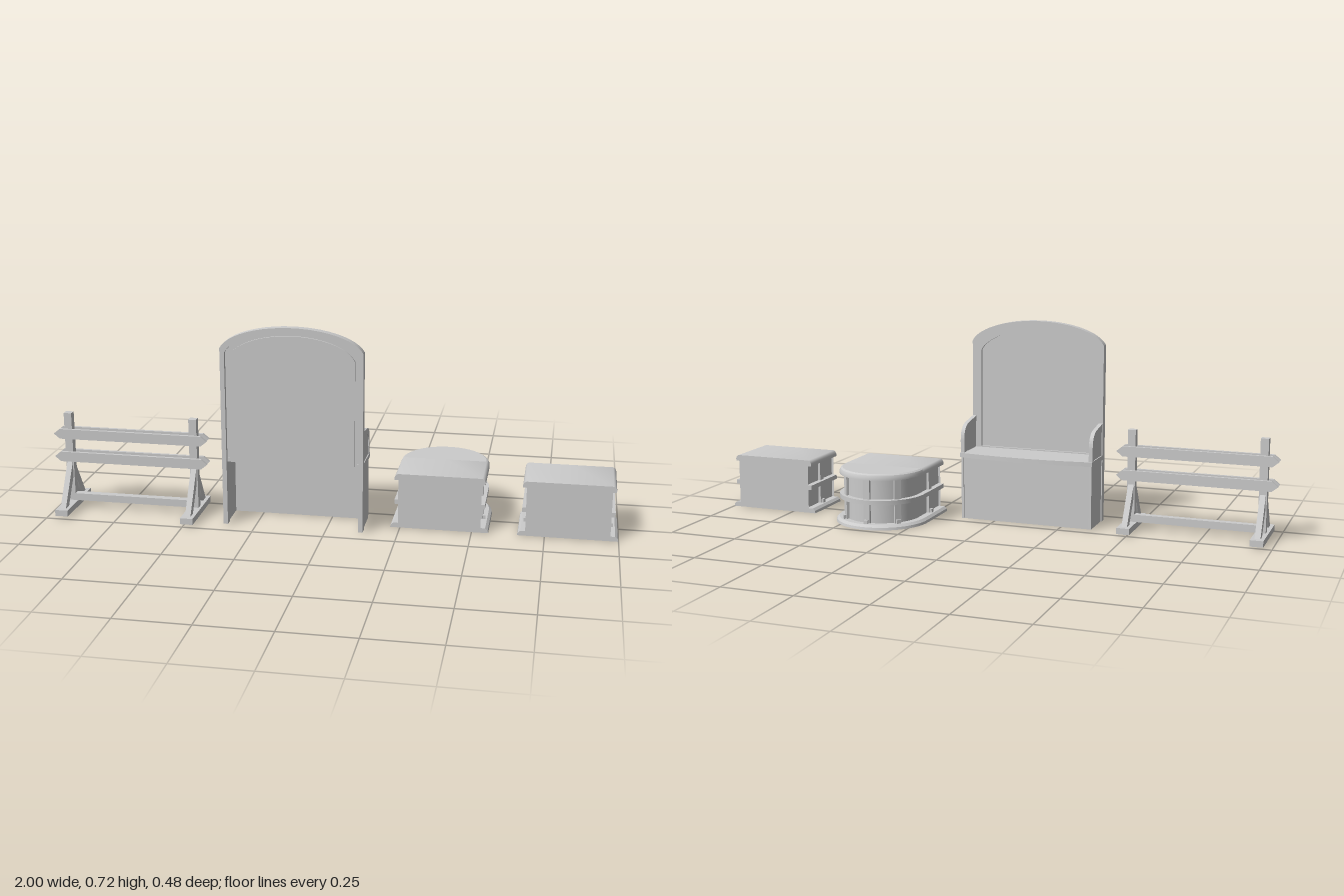
import * as THREE from 'three';
import { toCreasedNormals } from 'three/addons/utils/BufferGeometryUtils.js';

const grey = new THREE.MeshStandardMaterial({ color: 0xcccccc });
const thin = new THREE.MeshStandardMaterial({ color: 0xcccccc, side: THREE.DoubleSide });

function add(parent, name, geometry, x = 0, y = 0, z = 0, material = grey) {
  const mesh = new THREE.Mesh(geometry, material);
  mesh.name = name;
  mesh.position.set(x, y, z);
  parent.add(mesh);
  return mesh;
}

const box = (w, h, d) => new THREE.BoxGeometry(w, h, d);
const toShape = (pts) => new THREE.Shape(pts.map(([x, y]) => new THREE.Vector2(x, y)));
const extrude = (shape, depth) => toCreasedNormals(
  new THREE.ExtrudeGeometry(shape, { depth, bevelEnabled: false, curveSegments: 16 }), 0.6);

function group(name, parent) {
  const g = new THREE.Group();
  g.name = name;
  parent.add(g);
  return g;
}

// Barrier: two trestles joined by pairs of pointed planks and a low stretcher
function buildBarrier(root) {
  const g = group('barrier', root);
  g.position.set(-0.718, 0, 0.118);
  for (const s of [-1, 1]) {
    const x = s * 0.23;
    add(g, 'foot', box(0.046, 0.022, 0.24), x, 0.019, 0);
    add(g, 'post', box(0.028, 0.328, 0.026), x, 0.194, -0.004);
    for (const f of [-1, 1]) {
      const brace = toShape([[f * 0.1, 0.03], [f * 0.068, 0.03], [f * 0.008, 0.125], [f * 0.008, 0.178]]);
      add(g, 'brace', extrude(brace, 0.02).rotateY(-Math.PI / 2), x + 0.01);
    }
  }
  const plank = toShape([[-0.282, 0], [-0.26, -0.018], [0.26, -0.018], [0.282, 0], [0.26, 0.018], [-0.26, 0.018]]);
  for (const y of [0.197, 0.282]) {
    for (const z of [-0.028, 0.007]) add(g, 'plank', extrude(plank, 0.011), 0, y, z);
  }
  add(g, 'stretcher', box(0.44, 0.026, 0.026), 0, 0.043, -0.004);
}

// Arched outline: straight sides below a flattened curve
function archPoints(inset, bottom) {
  const half = 0.2475 - inset, pts = [[-half, bottom], [half, bottom]];
  for (let i = 0; i <= 24; i++) {
    const u = Math.cos((i / 24) * Math.PI);
    pts.push([u * half, 0.62 - inset + 0.098 * Math.sqrt(1 - (u * 0.982) ** 2)]);
  }
  return pts;
}

// High-backed seat facing the rear, hollow beneath
function buildSeat(root) {
  const g = group('highBackedSeat', root);
  g.position.x = -0.1175;

  // Narrow edge running from floor to floor over the arch
  const outer = archPoints(0, 0.003), inner = archPoints(0.016, 0.003);
  const edge = [...outer.slice(1), outer[0], inner[0], ...inner.slice(1).reverse()];
  add(g, 'outerEdge', extrude(toShape(edge), 0.028), 0, 0, 0.165);

  const facing = toShape(archPoints(0.01, 0.236));
  facing.holes.push(toShape(archPoints(0.034, 0.25)));
  add(g, 'archedFacing', extrude(facing, 0.014), 0, 0, 0.1652);
  add(g, 'backPanel', extrude(toShape(archPoints(0.03, 0.238)), 0.012), 0, 0, 0.174);

  // Seat board with a bowed edge
  const plan = new THREE.Shape();
  plan.moveTo(-0.2475, -0.18);
  plan.lineTo(0.2475, -0.18);
  plan.lineTo(0.2475, -0.035);
  plan.quadraticCurveTo(0, 0.005, -0.2475, -0.035);
  add(g, 'seatBoard', extrude(plan, 0.016).rotateX(-Math.PI / 2), 0, 0.23, 0);
  add(g, 'kickBoard', box(0.474, 0.23, 0.01), 0, 0.117, 0.052);

  // Side panel outline in (-z, y)
  const side = (inset, bottom) => {
    const s = new THREE.Shape(), f = -0.042 - inset;
    s.moveTo(-0.17, bottom);
    s.lineTo(f, bottom);
    s.lineTo(f, 0.29);
    s.bezierCurveTo(f, 0.325 - inset * 0.4, f - 0.015, 0.342 - inset, -0.088, 0.35 - inset);
    s.lineTo(-0.17, 0.363 - inset);
    return s;
  };
  const trim = side(0, 0.246);
  trim.holes.push(side(0.02, 0.2465));
  for (const s of [-1, 1]) {
    add(g, 'sidePanel', extrude(side(0, 0.003), 0.008).rotateY(Math.PI / 2), s * 0.24 - 0.004);
    add(g, 'armTrim', extrude(trim, 0.014).rotateY(Math.PI / 2), s * 0.24 - 0.007);
  }
}

// Moulding cross-sections in (distance from centre line, height), listed anticlockwise
const rim = [[0, 0.178], [0.157, 0.178], [0.157, 0.188], [0.153, 0.196], [0.146, 0.2], [0, 0.2]];
const band = [[0.134, 0.09], [0.157, 0.09], [0.157, 0.106], [0.134, 0.106]];
const plinth = [[0.134, 0.003], [0.171, 0.003], [0.169, 0.012], [0.16, 0.02], [0.134, 0.02]];
const mouldings = { top: rim, band, plinth };
const WALL = 0.136, FRONT = 0.12;

function addPost(parent, x, z, turn) {
  const post = group('post', parent);
  post.position.set(x, 0, z);
  post.rotation.y = turn;
  add(post, 'postShaft', box(0.018, 0.176, 0.024), 0, 0.092, 0);
  add(post, 'postFoot', box(0.028, 0.03, 0.015), 0.004, 0.018, 0);
}

// Open-bottomed cabinet body with straight sides ending at z = back
function buildCabinet(name, root, x, back) {
  const g = group(name, root);
  const depth = FRONT - back;
  g.position.x = x;
  add(g, 'frontWall', new THREE.PlaneGeometry(WALL * 2 + 0.016, 0.19), 0, 0.098, FRONT, thin);
  for (const s of [-1, 1]) {
    const wall = add(g, 'sideWall', new THREE.PlaneGeometry(depth, 0.18), s * WALL, 0.093, FRONT - depth / 2, thin);
    wall.rotation.y = s * Math.PI / 2;
    for (const [part, profile] of Object.entries(mouldings)) {
      add(g, part, extrude(toShape(profile.map(([r, y]) => [s * r, y])), depth), 0, 0, back);
    }
    addPost(g, s * WALL, 0.021, s > 0 ? 0 : Math.PI);
  }
  return g;
}

// Half-round end: the same mouldings turned about a vertical axis
function addRoundEnd(g, z) {
  const half = (pts) => toCreasedNormals(new THREE.LatheGeometry(
    pts.map(([r, y]) => new THREE.Vector2(r, y)), 28, Math.PI / 2, Math.PI), 0.5);
  for (const [part, profile] of Object.entries(mouldings)) {
    add(g, part + 'Round', half([...profile, profile[0]]), 0, 0, z);
  }
  add(g, 'roundWall', half([[WALL, 0.003], [WALL, 0.18]]), 0, 0, z, thin);
  for (const a of [Math.PI / 4, Math.PI / 2, Math.PI * 3 / 4]) {
    addPost(g, Math.cos(a) * WALL, z - Math.sin(a) * WALL, a);
  }
}

export function createModel() {
  const root = new THREE.Group();
  root.name = 'furnitureSet';
  buildBarrier(root);
  buildSeat(root);

  const table = buildCabinet('roundedCabinet', root, 0.387, -0.067);
  addRoundEnd(table, -0.067);

  const chest = buildCabinet('squareCabinet', root, 0.828, -0.085);
  const backWall = add(chest, 'backWall', new THREE.PlaneGeometry(WALL * 2 + 0.016, 0.19), 0, 0.098, -0.085, thin);
  backWall.rotation.y = Math.PI;
  return root;
}
